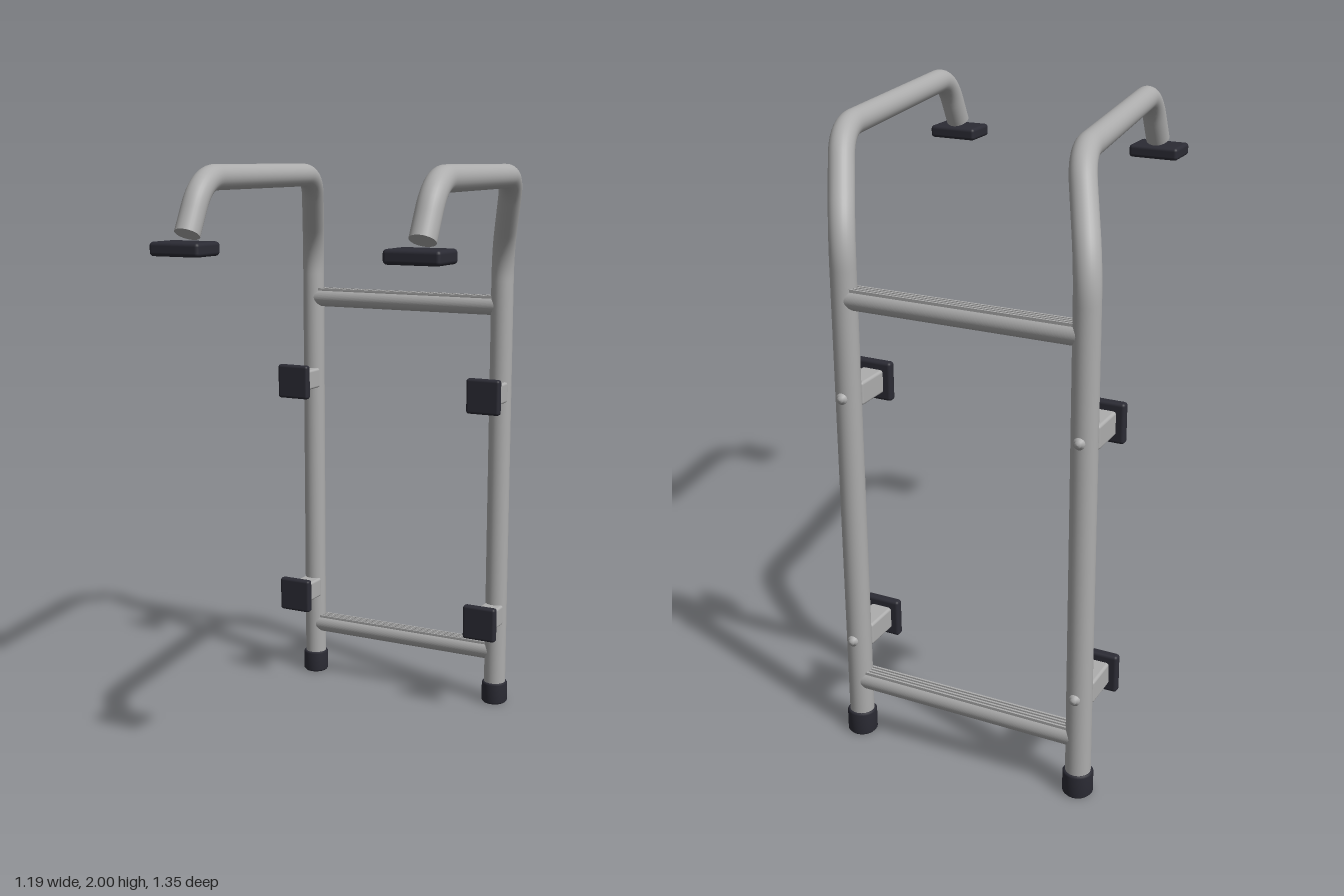
import * as THREE from 'three';
import { RoundedBoxGeometry } from 'three/addons/geometries/RoundedBoxGeometry.js';

const POLE_X = [-0.532, 0.245];
const POLE_Z = -0.624;
const TUBE_R = 0.04;

// Straight runs joined by rounded corners
function bentPath(points, bend) {
  const path = new THREE.CurvePath();
  let from = points[0];
  for (let i = 1; i < points.length - 1; i++) {
    const p = points[i];
    const a = p.clone().add(points[i - 1].clone().sub(p).setLength(bend));
    const b = p.clone().add(points[i + 1].clone().sub(p).setLength(bend));
    path.add(new THREE.LineCurve3(from, a));
    path.add(new THREE.QuadraticBezierCurve3(a, p, b));
    from = b;
  }
  path.add(new THREE.LineCurve3(from, points[points.length - 1]));
  return path;
}

// Round bar with a flat, ribbed tread on top
function rungGeometry(length) {
  const r = 0.035, flat = 0.024, y = 0.026, s = new THREE.Shape();
  const start = Math.atan2(y, flat);
  s.moveTo(-flat, y);
  s.absarc(0, 0, r, Math.PI - start, Math.PI * 2 + start, false);
  const ribs = 4, step = (flat * 2) / (ribs * 2 - 1);
  for (let i = 0; i < ribs; i++) {
    const x = flat - i * 2 * step;
    s.lineTo(x, 0.035);
    s.lineTo(x - step, 0.035);
    s.lineTo(x - step, 0.029);
    if (i < ribs - 1) s.lineTo(x - 2 * step, 0.029);
  }
  s.closePath();
  const g = new THREE.ExtrudeGeometry(s, { depth: length, bevelEnabled: false, curveSegments: 32 });
  return g.translate(0, 0, -length / 2).rotateY(Math.PI / 2);
}

export function createModel() {
  const model = new THREE.Group();
  model.name = 'ladder';
  const metal = new THREE.MeshStandardMaterial({ color: 0xadadad });
  metal.name = 'brushedMetal';
  const rubber = new THREE.MeshStandardMaterial({ color: 0x2b2b34 });
  rubber.name = 'darkRubber';

  function add(parent, name, geometry, material, x = 0, y = 0, z = 0) {
    const mesh = new THREE.Mesh(geometry, material);
    mesh.name = name;
    mesh.position.set(x, y, z);
    parent.add(mesh);
    return mesh;
  }

  // Shared geometries, relative to the pole's x
  const path = bentPath([
    new THREE.Vector3(0, 0.04, POLE_Z),
    new THREE.Vector3(0, 1.695, POLE_Z),
    new THREE.Vector3(0.106, 1.96, -0.434),
    new THREE.Vector3(0.258, 1.96, 0.508),
    new THREE.Vector3(0.26, 1.795, 0.594),
  ], 0.1);
  const rail = new THREE.TubeGeometry(path, 160, TUBE_R, 28, false);
  const endCap = new THREE.CircleGeometry(TUBE_R, 28);
  const foot = new THREE.LatheGeometry([
    [0, 0], [0.042, 0], [0.048, 0.007], [0.048, 0.075], [0.044, 0.081], [0.038, 0.081],
  ].map(([x, y]) => new THREE.Vector2(x, y)), 32);
  const hookPad = new RoundedBoxGeometry(0.176, 0.043, 0.125, 3, 0.012);
  const wallPad = new RoundedBoxGeometry(0.127, 0.127, 0.03, 3, 0.01);
  const bracket = new RoundedBoxGeometry(0.075, 0.075, 0.13, 3, 0.009);
  const boltHead = new THREE.LatheGeometry([
    [0.018, 0], [0.018, 0.008], [0.011, 0.011], [0.01, 0.017], [0, 0.019],
  ].map(([x, y]) => new THREE.Vector2(x, y)), 16).rotateX(-Math.PI / 2);

  POLE_X.forEach((x, i) => {
    const side = new THREE.Group();
    side.name = i === 0 ? 'rightSide' : 'leftSide';
    side.position.x = x;
    model.add(side);

    // Bent rail, its closed end, and its rubber ends
    add(side, 'rail', rail, metal);
    const tip = path.getPoint(1);
    const cap = add(side, 'railEnd', endCap, metal, tip.x, tip.y, tip.z);
    cap.quaternion.setFromUnitVectors(new THREE.Vector3(0, 0, 1), path.getTangent(1));
    add(side, 'hookPad', hookPad, rubber, 0.26, 1.753, 0.609);
    add(side, 'foot', foot, rubber, 0, 0, POLE_Z);

    // Stand-off brackets with pads in front and bolts behind
    for (const y of [0.352, 1.191]) {
      const standOff = new THREE.Group();
      standOff.name = 'standOff';
      standOff.position.y = y;
      side.add(standOff);
      add(standOff, 'bracket', bracket, metal, 0, 0, -0.54);
      add(standOff, 'wallPad', wallPad, rubber, 0, 0, -0.469);
      add(standOff, 'bolt', boltHead, metal, 0, 0, POLE_Z - TUBE_R + 0.005);
    }
  });

  // Rungs between the rails
  const rung = rungGeometry(POLE_X[1] - POLE_X[0] - 0.03);
  for (const y of [0.2, 1.5]) {
    add(model, 'rung', rung, metal, (POLE_X[0] + POLE_X[1]) / 2, y, POLE_Z);
  }
  return model;
}
